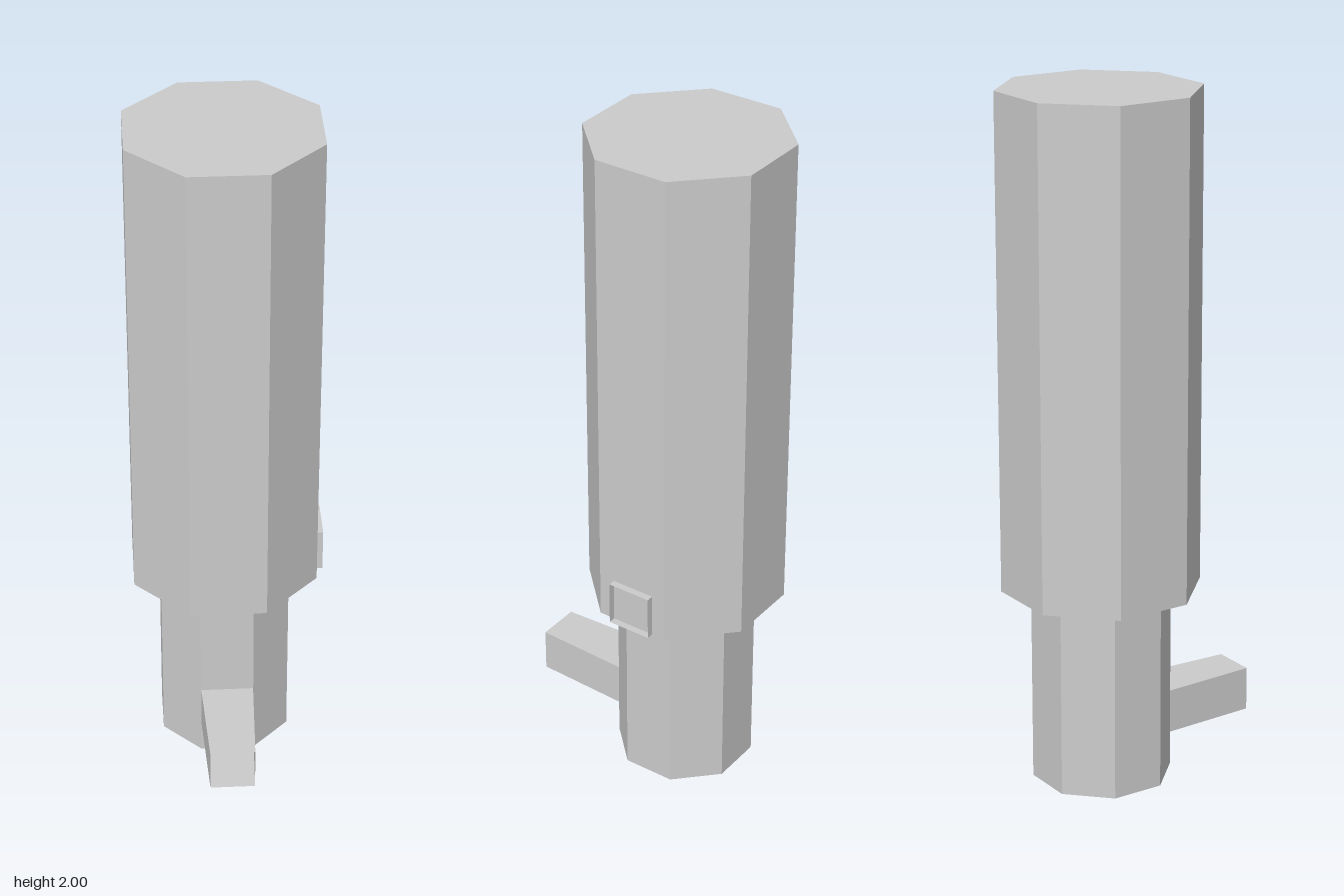
import * as THREE from 'three';

const CX = -0.011, CZ = -0.103; // shared axis of both octagonal sections

const solid = new THREE.MeshStandardMaterial({ color: 0xcccccc, flatShading: true });
const open = new THREE.MeshStandardMaterial({ color: 0xcccccc, flatShading: true, side: THREE.DoubleSide });

// Upright octagonal prism with flat sides facing the axes
function octagon(name, apothem, y0, y1) {
  const r = apothem / Math.cos(Math.PI / 8);
  const geo = new THREE.CylinderGeometry(r, r, y1 - y0, 8);
  geo.rotateY(Math.PI / 8);
  const mesh = new THREE.Mesh(geo, solid);
  mesh.name = name;
  mesh.position.set(CX, (y0 + y1) / 2, CZ);
  return mesh;
}

// Open-ended square duct along +z, tapering from half-width w0 to w1
function duct(name, w0, w1, height, length) {
  const geo = new THREE.CylinderGeometry(Math.SQRT2, Math.SQRT2, 1, 4, 1, true);
  geo.rotateY(Math.PI / 4);
  geo.rotateX(Math.PI / 2);
  const p = geo.attributes.position;
  for (let i = 0; i < p.count; i++) {
    const t = p.getZ(i) + 0.5;
    p.setXYZ(i, p.getX(i) * (w0 + (w1 - w0) * t), p.getY(i) * height / 2, t * length);
  }
  geo.computeVertexNormals();
  const mesh = new THREE.Mesh(geo, open);
  mesh.name = name;
  return mesh;
}

export function createModel() {
  const group = new THREE.Group();
  group.name = 'canister';

  // Wide upper body on a narrower base
  group.add(octagon('upperBody', 0.266, 0.575, 2));
  group.add(octagon('lowerBody', 0.187, 0, 0.575));

  // Tapered spout leaving the front of the base
  const spout = duct('spout', 0.077, 0.065, 0.13, 0.285);
  spout.position.set(CX, 0.165, 0.084);
  group.add(spout);

  // Shallow square port on the left side of the upper body
  const port = duct('sidePort', 0.066, 0.066, 0.13, 0.022);
  port.rotation.y = Math.PI / 2;
  port.position.set(0.254, 0.64, -0.106);
  group.add(port);

  return group;
}
